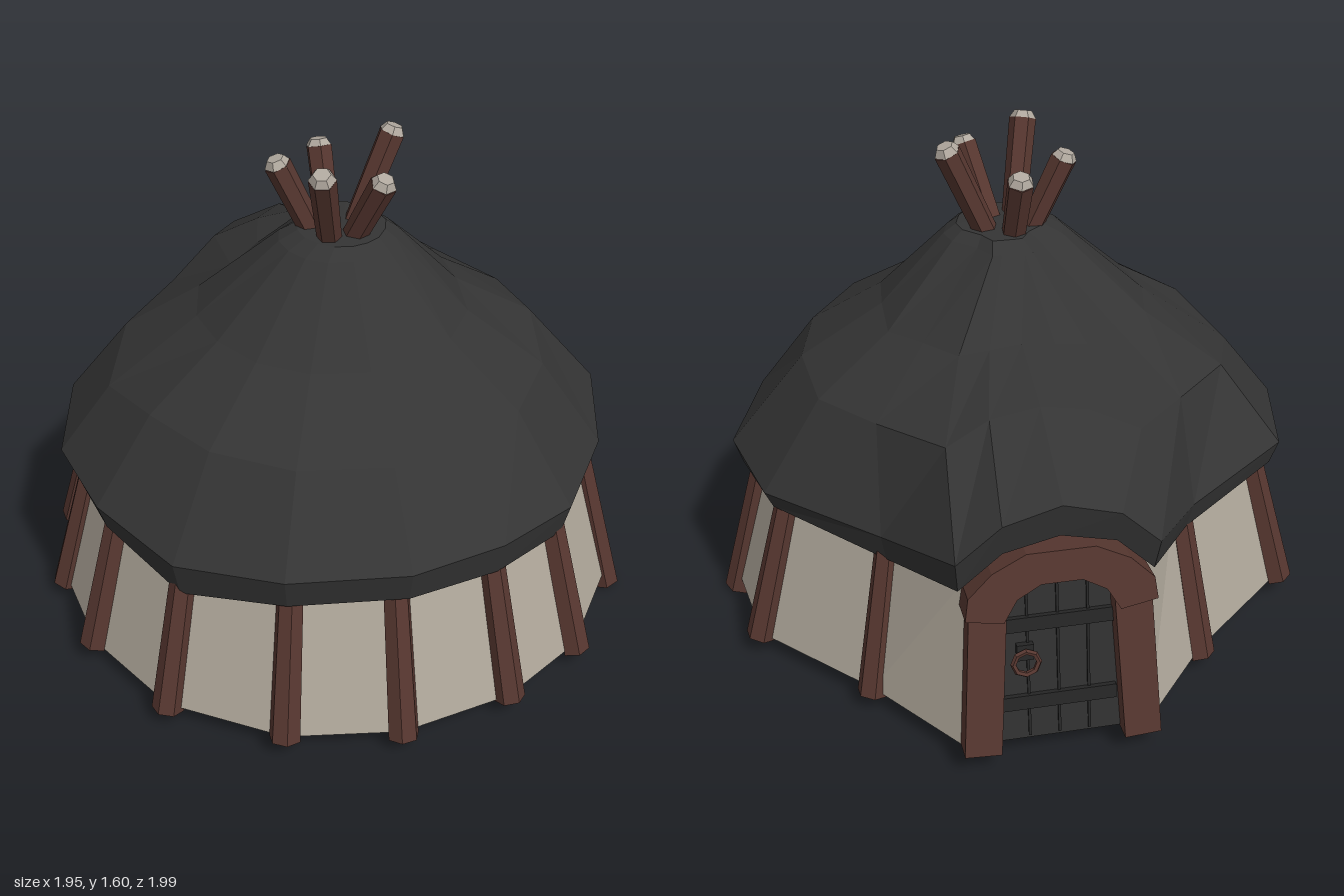
import * as THREE from 'three';

const mat = (name, color, side = THREE.FrontSide) =>
  new THREE.MeshStandardMaterial({ name, color, side, flatShading: true });

export function createModel() {
  const roofMat = mat('dark thatch', 0x343434, THREE.DoubleSide);
  const wallMat = mat('pale canvas', 0xb0a89b, THREE.DoubleSide);
  const woodMat = mat('brown wood', 0x573730);
  const cutMat = mat('cut wood', 0xb0a89e);
  const doorMat = mat('door planks', 0x303030);
  const ironMat = mat('door iron', 0x262626);

  const model = new THREE.Group();
  model.name = 'hut';
  const add = (name, geometry, material, parent = model) => {
    const mesh = new THREE.Mesh(geometry, material);
    mesh.name = name;
    parent.add(mesh);
    return mesh;
  };

  // Skin through a list of columns, each running from bottom to top
  const skin = (columns, closed) => {
    const n = columns.length, rows = columns[0].length, index = [];
    for (let i = 0; i < (closed ? n : n - 1); i++) {
      for (let j = 0; j < rows - 1; j++) {
        const a = i * rows + j, b = ((i + 1) % n) * rows + j;
        index.push(a, b, b + 1, a, b + 1, a + 1);
      }
    }
    const g = new THREE.BufferGeometry();
    g.setAttribute('position', new THREE.Float32BufferAttribute(columns.flat(2), 3));
    g.setIndex(index);
    const flat = g.toNonIndexed();
    flat.computeVertexNormals();
    return flat;
  };

  // Stand an upright geometry of the right length between two points
  const UP = new THREE.Vector3(0, 1, 0);
  const span = (name, from, to, makeGeometry, material) => {
    const a = new THREE.Vector3(...from), b = new THREE.Vector3(...to);
    const mesh = add(name, makeGeometry(a.distanceTo(b)), material);
    mesh.position.copy(a).add(b).multiplyScalar(0.5);
    mesh.quaternion.setFromUnitVectors(UP, b.sub(a).normalize());
  };

  // Roof columns: rim x, z, upper y, lower y, then optional points on the two rings above;
  // the middle seven form the hood over the door
  const roofColumns = [
    [0, 0.9, 0.63, 0.52], [0.3, 0.84, 0.63, 0.51], [0.57, 0.68, 0.59, 0.48], [0.78, 0.39, 0.59, 0.475],
    [0.9, 0.03, 0.59, 0.505, [0.66, 0.885, 0.02], [0.4, 1.045, 0.02]],
    [0.82, -0.29, 0.59, 0.53],
    [0.5, -0.6, 0.6, 0.505, [0.48, 0.885, -0.43], [0.31, 1.04, -0.25]],
    [0.33, -0.91, 0.7, 0.59, [0.31, 0.92, -0.65], [0.22, 1.045, -0.36]],
    [0.2, -0.92, 0.82, 0.71, [0.18, 0.985, -0.63], [0.13, 1.06, -0.37]],
    [0.03, -0.92, 0.87, 0.75, [0.03, 1.005, -0.62], [0.03, 1.065, -0.36]],
    [-0.14, -0.92, 0.82, 0.71, [-0.11, 0.985, -0.63], [-0.07, 1.06, -0.37]],
    [-0.26, -0.91, 0.7, 0.59, [-0.26, 0.92, -0.66], [-0.17, 1.045, -0.36]],
    [-0.45, -0.62, 0.6, 0.51, [-0.44, 0.885, -0.46], [-0.28, 1.04, -0.25]],
    [-0.82, -0.34, 0.6, 0.52],
    [-0.9, 0, 0.59, 0.52, [-0.73, 0.81, 0], [-0.44, 1.025, 0]],
    [-0.83, 0.34, 0.61, 0.52], [-0.65, 0.63, 0.58, 0.455], [-0.36, 0.83, 0.62, 0.51],
  ].map(([x, z, yU, yL, ring1 = [x * 0.77, 0.865, z * 0.77], ring2 = [x * 0.49, 1.03, z * 0.49]]) => [
    [x * 0.9, yL + 0.05, z * 0.9],
    [x * 0.97, yL, z * 0.97],
    [x, yU, z],
    ring1,
    ring2,
    [x * 0.21 + 0.01, 1.265, z * 0.2 + 0.02],
    [x * 0.155 + 0.02, 1.295, z * 0.155 + 0.02],
    [0.02, 1.297, 0.02],
  ]);
  add('roof', skin(roofColumns, true), roofMat);

  // Wall posts: x, z at the foot, in order around the wall from one side of the door to the other
  const feet = [
    [-0.49, -0.65], [-0.86, -0.33], [-0.93, 0], [-0.88, 0.33], [-0.7, 0.66], [-0.38, 0.88], [-0.03, 0.95],
    [0.33, 0.89], [0.61, 0.73], [0.85, 0.41], [0.925, 0.04], [0.87, -0.3], [0.55, -0.63],
  ];
  // Each post is a half-round timber, open at the back against the canvas
  const LEAN = 0.84;
  feet.forEach(([x, z], i) => {
    const y = i === 9 || i === 10 ? 0 : 0.04 + 0.01 * (i % 2);
    const yaw = Math.atan2(x, z) + 0.3 * (i % 3 - 1);
    span('wallPost', [x, y, z], [x * LEAN, 0.6, z * LEAN], (length) =>
      new THREE.CylinderGeometry(0.04, 0.05, length, 4, 1, true, -2, 4).rotateY(yaw), woodMat);
  });

  // Canvas wall, open at the door
  const wallColumn = (x, z, s) => [[x, 0.055, z], [x * s, 0.6, z * s]];
  add('wall', skin([
    wallColumn(-0.25, -0.93, 0.91),
    ...feet.map(([x, z]) => wallColumn(x, z, LEAN)),
    wallColumn(0.32, -0.93, 0.91),
  ], false), wallMat);

  // Poles sticking out of the roof top, with pale bevelled ends
  for (const [x, y, z] of [[-0.175, 1.525, -0.02], [-0.09, 1.575, 0.21], [-0.01, 1.51, -0.15],
    [0.11, 1.52, 0.18], [0.2, 1.58, -0.04]]) {
    const neck = [x * 0.96, y - 0.022, z * 0.96];
    span('roofPole', [x * 0.15, 1.18, z * 0.15], neck, (length) =>
      new THREE.CylinderGeometry(0.042, 0.037, length, 6).rotateY(x * 9), woodMat);
    span('poleEnd', neck, [x, y, z], (length) =>
      new THREE.CylinderGeometry(0.027, 0.042, length, 6).rotateY(x * 9), cutMat);
  }

  // Doorway, leaning back with the wall
  const doorway = new THREE.Group();
  doorway.name = 'doorway';
  doorway.position.set(0.03, 0.05, -0.94);
  doorway.rotation.x = 0.16;
  model.add(doorway);

  for (const side of [-1, 1]) {
    const jamb = add('doorJamb', new THREE.BoxGeometry(0.11, 0.52, 0.12), woodMat, doorway);
    jamb.position.set(side * 0.225, 0.265, 0);
    jamb.rotation.z = side * 0.06;
  }

  const outline = (pts) => new THREE.Shape(pts.map(([x, y]) => new THREE.Vector2(x, y)));
  const extrude = (shape, depth, z) =>
    new THREE.ExtrudeGeometry(shape, { depth, bevelEnabled: false }).translate(0, 0, z);

  add('doorArch', extrude(outline([
    [0.28, 0.47], [0.27, 0.54], [0.2, 0.61], [0.1, 0.66], [-0.1, 0.66], [-0.2, 0.61], [-0.27, 0.54], [-0.28, 0.47],
    [-0.17, 0.45], [-0.13, 0.52], [-0.06, 0.56], [0.06, 0.56], [0.13, 0.52], [0.17, 0.45],
  ]), 0.15, -0.08), woodMat, doorway);

  add('door', extrude(outline([
    [-0.19, 0.01], [0.19, 0.01], [0.19, 0.48], [0.1, 0.58], [-0.1, 0.58], [-0.19, 0.48],
  ]), 0.03, 0), doorMat, doorway);

  // Plank seams and iron straps
  for (const x of [-0.09, 0, 0.09]) {
    add('plankSeam', new THREE.BoxGeometry(0.008, 0.54, 0.006), ironMat, doorway).position.set(x, 0.29, -0.003);
  }
  for (const y of [0.14, 0.4]) {
    add('doorStrap', new THREE.BoxGeometry(0.34, 0.045, 0.016), ironMat, doorway).position.set(0, y, -0.008);
  }

  // Ring handle on its plate
  add('handlePlate', new THREE.BoxGeometry(0.05, 0.05, 0.02), ironMat, doorway).position.set(0.1, 0.31, -0.01);
  add('handleRing', new THREE.TorusGeometry(0.038, 0.009, 5, 8), woodMat, doorway).position.set(0.1, 0.28, -0.026);

  return model;
}
